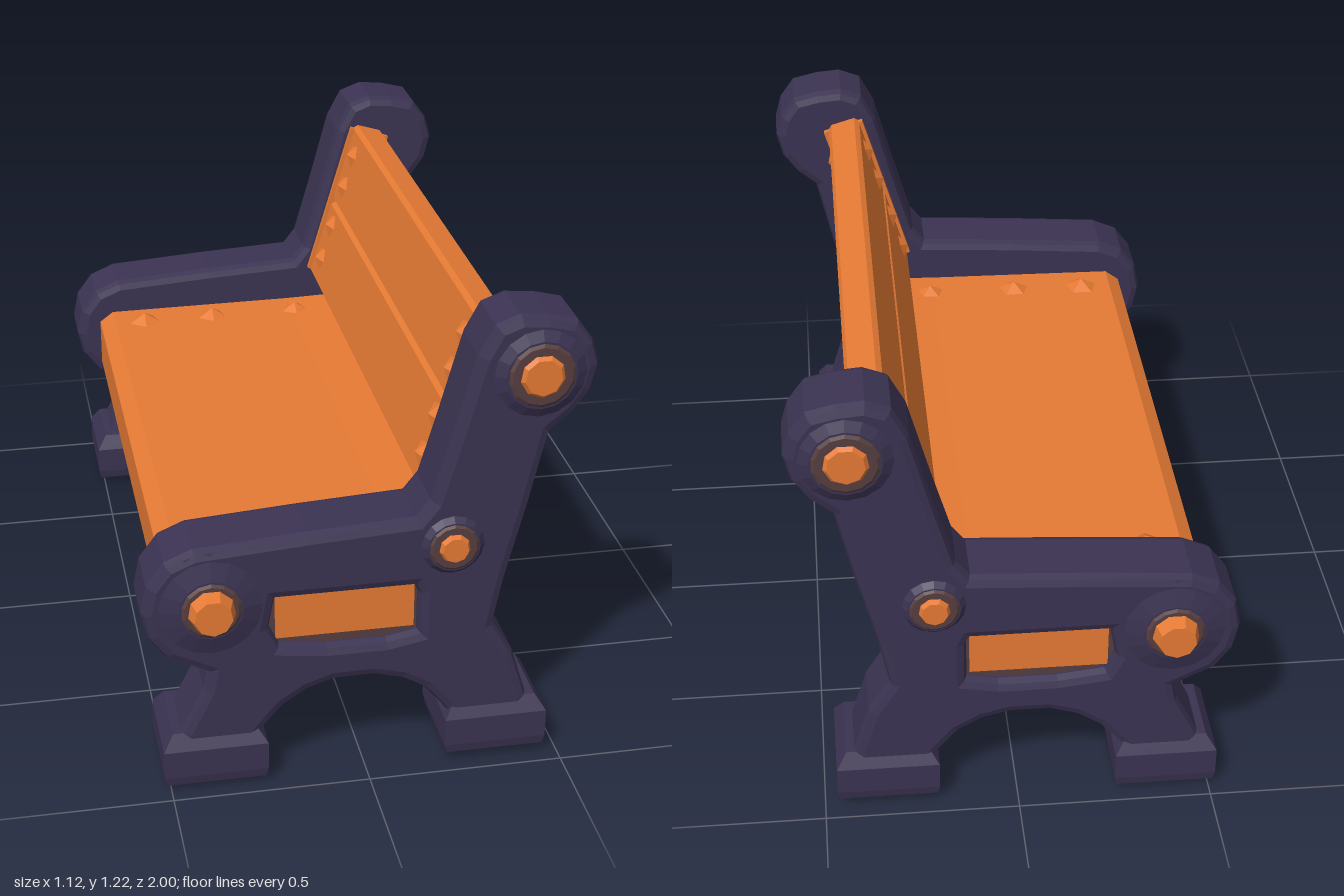
import * as THREE from 'three';

const mat = (name, color) => Object.assign(new THREE.MeshStandardMaterial({ color }), { name });

export function createModel() {
  const iron = mat('dark iron', 0x3b3352);
  const wood = mat('orange wood', 0xe67a34);
  const rust = mat('brown rim', 0x573e3f);
  iron.flatShading = wood.flatShading = rust.flatShading = true;

  const bench = new THREE.Group();
  bench.name = 'bench';
  const add = (parent, name, geometry, material, x = 0, y = 0, z = 0) => {
    const mesh = new THREE.Mesh(geometry, material);
    mesh.name = name;
    mesh.position.set(x, y, z);
    parent.add(mesh);
    return mesh;
  };
  const toPoints = (pts) => pts.map(([x, y]) => new THREE.Vector2(x, y));
  const toShape = (pts) => new THREE.Shape(toPoints(pts));
  // Bevelled extrusion running from z0 to z1
  const extrude = (shape, z0, z1, bevel) => new THREE.ExtrudeGeometry(shape, {
    depth: z1 - z0 - 2 * bevel, bevelEnabled: bevel > 0, bevelThickness: bevel,
    bevelSize: bevel, bevelOffset: -bevel, bevelSegments: 2,
  }).translate(0, 0, z0 + bevel);
  // Tapered disc facing z, from z0 (radius r0) to z1 (radius r1)
  const disc = (r0, r1, z0, z1, sides) => new THREE.CylinderGeometry(r1, r0, z1 - z0, sides)
    .rotateX(Math.PI / 2).translate(0, 0, (z0 + z1) / 2);

  // Frame silhouette: legs, leaning post, arm with a round front, and an opening
  const outline = toShape([
    [-0.47, 0.10], [-0.30, 0.10], [-0.26, 0.15], [-0.21, 0.21], [-0.15, 0.25], [-0.08, 0.273],
    [0.02, 0.273], [0.09, 0.255], [0.15, 0.22], [0.20, 0.16], [0.24, 0.10], [0.42, 0.10],
    [0.42, 0.17], [0.38, 0.30], [0.325, 0.39], [0.35, 0.52], [0.40, 0.72], [0.445, 0.92],
    [0.50, 0.965], [0.54, 1.02], [0.557, 1.09], [0.54, 1.15], [0.50, 1.205], [0.43, 1.222],
    [0.36, 1.228], [0.30, 1.205], [0.26, 1.13], [0.20, 0.91], [0.155, 0.755], [0.12, 0.71],
    [-0.15, 0.695], [-0.43, 0.675], [-0.50, 0.645], [-0.545, 0.585], [-0.56, 0.51],
    [-0.545, 0.44], [-0.50, 0.38], [-0.40, 0.33], [-0.41, 0.28], [-0.47, 0.16],
  ]);
  outline.holes.push(new THREE.Path(toPoints([
    [-0.23, 0.522], [0.12, 0.522], [0.13, 0.50], [0.13, 0.39], [0.05, 0.375],
    [-0.10, 0.375], [-0.22, 0.39], [-0.245, 0.44],
  ])));
  const frameGeo = extrude(outline, 0.757, 0.946, 0.025);

  // Four-sided foot with chamfers and a hollow underside
  const footGeo = new THREE.LatheGeometry(toPoints([
    [0, 0.07], [0.8, 0], [0.96, 0.015], [1, 0.04], [1, 0.115], [0.8, 0.155], [0, 0.16],
  ]), 4, Math.PI / 4).scale(0.132 * Math.SQRT2, 1, 0.122 * Math.SQRT2);

  // x, y, bolt radius, rim radius, boss radius, bolt tip z
  const bolts = [
    [-0.39, 0.52, 0.061, 0.08, 0.15, 1.0],
    [0.41, 1.08, 0.06, 0.088, 0.125, 0.975],
    [0.21, 0.635, 0.042, 0.066, 0.085, 0.978],
  ];

  const buildSide = (name) => {
    const side = new THREE.Group();
    side.name = name;
    add(side, 'frame', frameGeo, iron);
    add(side, 'frontFoot', footGeo, iron, -0.385, 0.005, 0.84);
    add(side, 'backFoot', footGeo, iron, 0.335, 0.015, 0.84);
    for (const [x, y, r, rim, boss, tip] of bolts) {
      add(side, 'boss', disc(boss, rim, 0.94, 0.96, 16), iron, x, y);
      add(side, 'boltRim', disc(rim, rim * 0.85, 0.957, 0.965, 14), rust, x, y);
      add(side, 'bolt', disc(r, r * 0.78, 0.96, tip, 9), wood, x, y);
    }
    // Wooden panel showing through the arm opening
    add(side, 'openingRim', new THREE.BoxGeometry(0.40, 0.17, 0.02), rust, -0.058, 0.45, 0.905);
    add(side, 'openingPanel', new THREE.BoxGeometry(0.35, 0.125, 0.008), wood, -0.053, 0.463, 0.918);
    return side;
  };
  const left = buildSide('leftEndFrame');
  const right = buildSide('rightEndFrame');
  // Mirror the far end by reflecting geometry and reversing its triangles
  right.children.forEach((mesh) => {
    const g = mesh.geometry.index ? mesh.geometry.toNonIndexed() : mesh.geometry.clone();
    mesh.geometry = g.scale(1, 1, -1);
    mesh.position.z *= -1;
    const p = g.attributes.position;
    const a = new THREE.Vector3(), c = new THREE.Vector3();
    for (let i = 0; i < p.count; i += 3) {
      a.fromBufferAttribute(p, i);
      c.fromBufferAttribute(p, i + 2);
      p.setXYZ(i, c.x, c.y, c.z);
      p.setXYZ(i + 2, a.x, a.y, a.z);
    }
    g.computeVertexNormals();
  });
  bench.add(left, right);

  // Seat: a board with a deep lip at the front and the rear
  const seat = toShape([
    [-0.49, 0.415], [-0.475, 0.40], [-0.455, 0.40], [-0.42, 0.49], [0.20, 0.49], [0.22, 0.40],
    [0.265, 0.40], [0.28, 0.415], [0.28, 0.57], [0.26, 0.59], [0.10, 0.585], [-0.45, 0.58],
    [-0.49, 0.55],
  ]);
  add(bench, 'seat', extrude(seat, -0.78, 0.78, 0), wood);

  // Two leaning back slats, set upright in a tilted group
  const lean = Math.atan2(0.145, 0.49);
  const slat = toShape([
    [-0.05, 0.012], [-0.038, 0], [0.033, 0], [0.045, 0.012],
    [0.045, 0.236], [0.033, 0.248], [-0.038, 0.248], [-0.05, 0.236],
  ]);
  const back = new THREE.Group();
  back.name = 'backrest';
  back.position.set(0.22, 0.658, 0);
  back.rotation.z = -lean;
  for (const y of [0, 0.247]) add(back, 'backSlat', extrude(slat, -0.78, 0.78, 0), wood, 0, y, 0);
  bench.add(back);

  // Thickened slat ends and low faceted fixings near the board ends
  const stud = new THREE.ConeGeometry(0.055, 0.03, 5);
  for (const s of [-1, 1]) {
    const z = s * 0.67;
    add(back, 'backEnd', new THREE.BoxGeometry(0.12, 0.47, 0.03), wood, 0, 0.25, s * 0.755);
    for (const x of [-0.36, -0.15, 0.11]) add(bench, 'seatStud', stud, wood, x, 0.592, z);
    for (const y of [0.08, 0.19, 0.32, 0.42]) {
      for (const face of [-1, 1]) {
        add(back, 'backStud', stud, wood, face * 0.055, y, z).rotation.z = -face * Math.PI / 2;
      }
    }
  }
  return bench;
}
